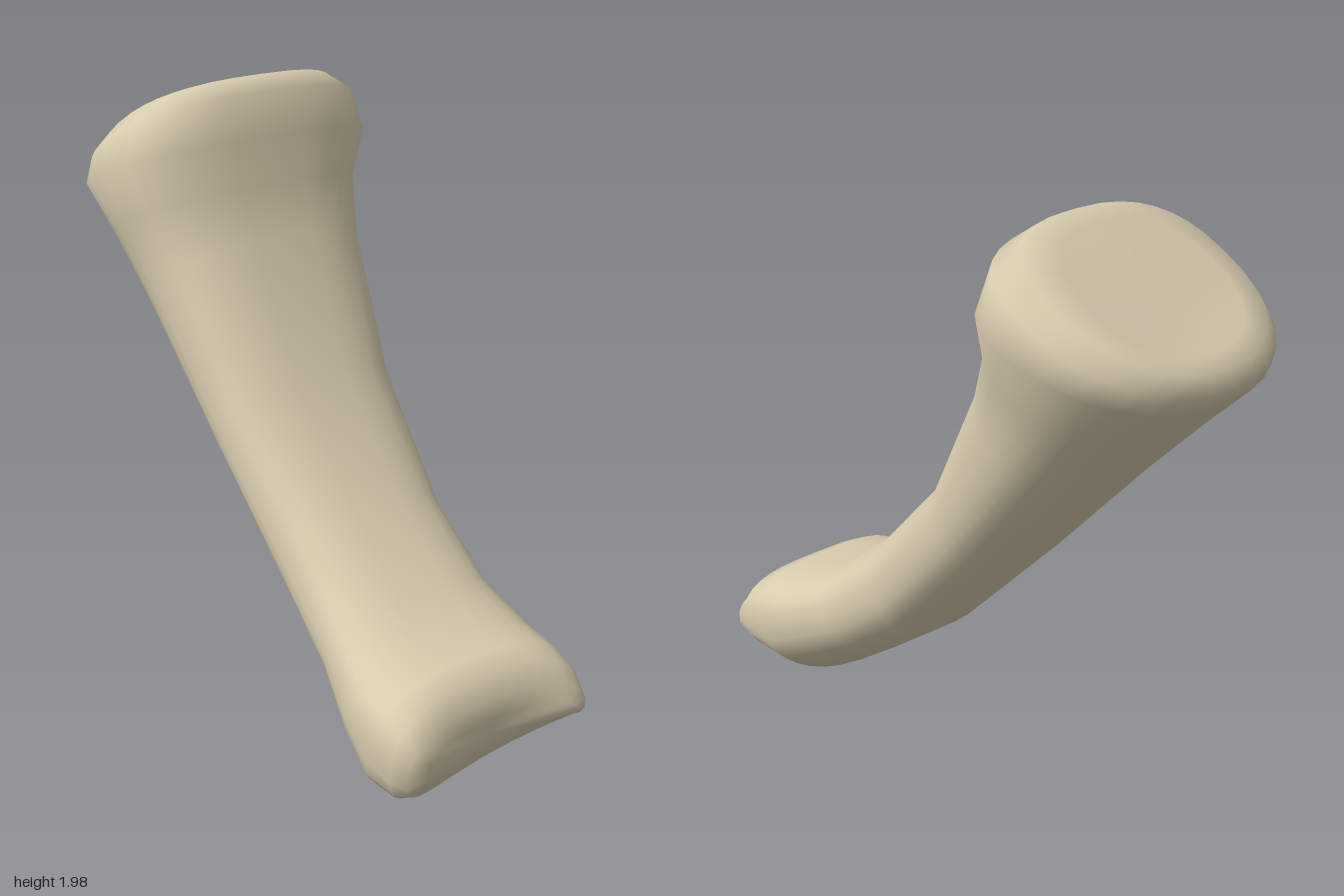
import * as THREE from 'three';
import { mergeVertices } from 'three/addons/utils/BufferGeometryUtils.js';

const SIDES = 32;

// Cross-sections from the lower knuckle to the upper socket:
// front [z, y], back [z, y], x min, x max, widest position from front to back, groove amount
const sections = [
  [[0.96, 0.21], [0.96, 0.21], -0.09, -0.09, 0.5, 1],
  [[0.985, 0.27], [0.965, 0.14], -0.36, 0.21, 0.5, 1],
  [[0.98, 0.33], [0.93, 0.06], -0.425, 0.25, 0.5, 1],
  [[0.94, 0.40], [0.86, 0.0], -0.445, 0.265, 0.45, 0.9],
  [[0.87, 0.43], [0.72, -0.02], -0.455, 0.272, 0.4, 0.7],
  [[0.77, 0.44], [0.58, 0.08], -0.44, 0.268, 0.4, 0.35],
  [[0.58, 0.52], [0.40, 0.21], -0.385, 0.248, 0.45, 0],
  [[0.33, 0.72], [0.15, 0.39], -0.355, 0.25, 0.5, 0],
  [[0.0, 1.06], [-0.22, 0.76], -0.37, 0.30, 0.5, 0],
  [[-0.22, 1.48], [-0.60, 1.16], -0.41, 0.37, 0.5, 0],
  [[-0.28, 1.64], [-0.82, 1.38], -0.45, 0.42, 0.45, 0],
  [[-0.31, 1.79], [-0.97, 1.52], -0.50, 0.50, 0.4, 0],
  [[-0.35, 1.93], [-1.0, 1.57], -0.45, 0.48, 0.42, 0],
  [[-0.41, 1.975], [-0.99, 1.63], -0.37, 0.41, 0.45, 0],
  [[-0.50, 1.95], [-0.93, 1.66], -0.27, 0.31, 0.5, 0],
  [[-0.72, 1.77], [-0.72, 1.77], 0.02, 0.02, 0.5, 0],
];

const power = (v, e) => Math.sign(v) * Math.pow(Math.abs(v), e);

// One point on a cross-section: flatter on the front, rounder on the back
function sectionPoint([front, back, x0, x1, widest, groove], angle) {
  const s = Math.sin(angle), c = Math.cos(angle);
  const e = s > 0 ? 0.76 : 0.9 - 0.2 * groove;
  const u = power(c, e), v = power(s, e);
  const k = v > 0 ? widest * (1 - v) : widest - v * (1 - widest);
  let z = front[0] + (back[0] - front[0]) * k;
  let y = front[1] + (back[1] - front[1]) * k;
  // saddle between the two knuckle lobes, the model's left lobe higher and further forward
  z += groove * (0.05 * u * u - 0.035 + 0.02 * u);
  if (v < 0) y -= groove * 0.06 * v * (u + 0.6);
  return [(x0 + x1) / 2 + u * (x1 - x0) / 2, Math.max(0, y), z];
}

function loftGeometry() {
  const positions = [], index = [];
  sections.forEach((section, i) => {
    for (let j = 0; j < SIDES; j++) {
      positions.push(...sectionPoint(section, (j / SIDES) * Math.PI * 2));
      if (i === sections.length - 1) continue;
      const a = i * SIDES + j, b = i * SIDES + (j + 1) % SIDES;
      index.push(a, a + SIDES, b, b, a + SIDES, b + SIDES);
    }
  });
  // flatten both end rings to a single point
  for (const ring of [0, sections.length - 1]) {
    const [f, , x] = sections[ring];
    for (let j = 0; j < SIDES; j++) {
      positions.splice((ring * SIDES + j) * 3, 3, x, f[1], f[0] - (ring === 0 ? 0.02 : 0));
    }
  }
  let geometry = new THREE.BufferGeometry();
  geometry.setAttribute('position', new THREE.Float32BufferAttribute(positions, 3));
  geometry.setIndex(index);
  geometry = mergeVertices(geometry, 1e-5);
  geometry.computeVertexNormals();
  return geometry;
}

export function createModel() {
  const group = new THREE.Group();
  group.name = 'fingerBone';
  const bone = new THREE.MeshStandardMaterial({ color: 0xd8ccae });
  bone.name = 'bone';
  const mesh = new THREE.Mesh(loftGeometry(), bone);
  mesh.name = 'boneBody';
  group.add(mesh);
  return group;
}
